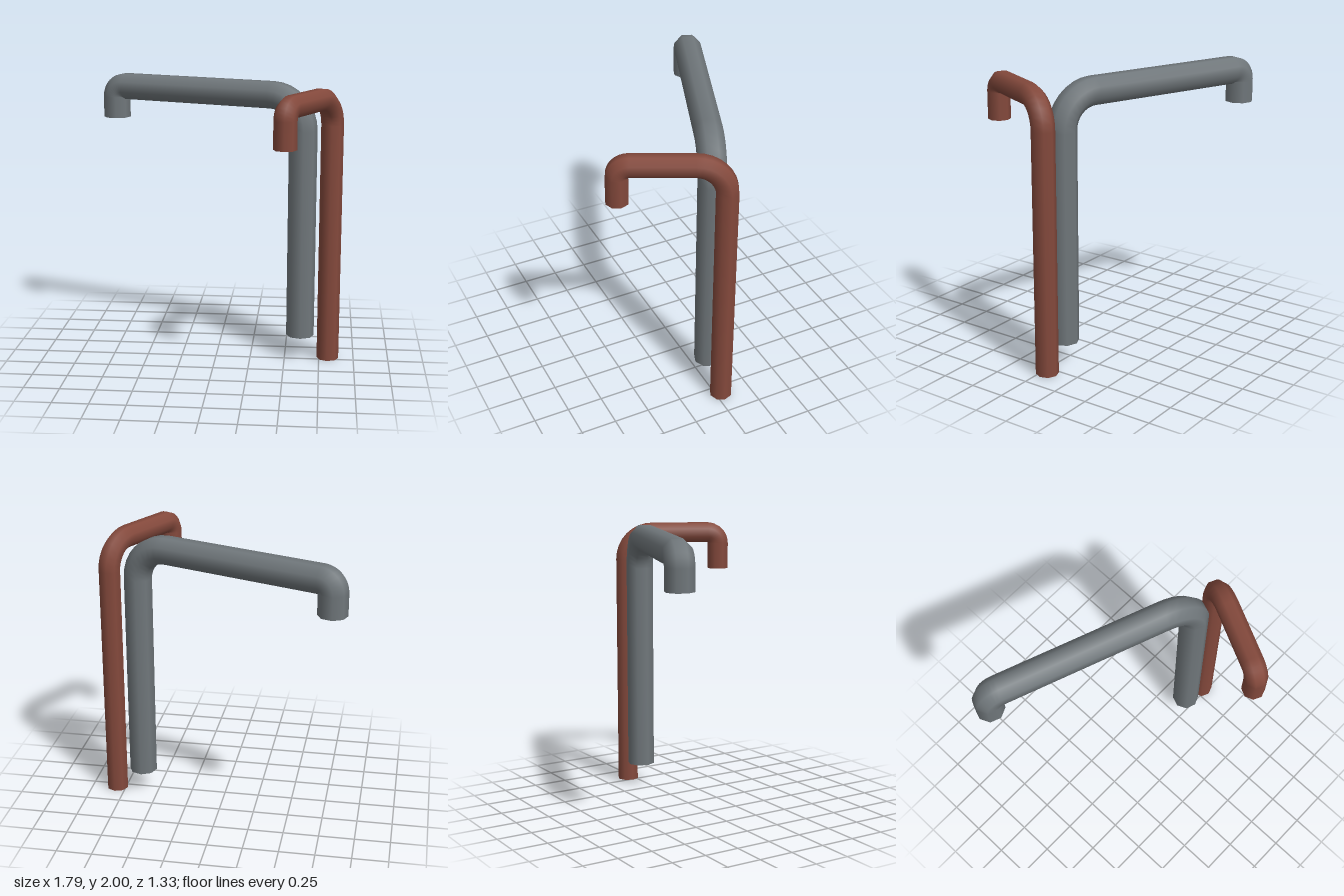
import * as THREE from 'three';

const SIDES = 8;

// Pipe in a vertical plane: rises from the foot, bends over, runs across, bends down to the tip.
function pipeGeometry({ foot, tip, runY, radius, legBend, tipBend }) {
  const base = new THREE.Vector3(...foot);
  const end = new THREE.Vector3(...tip);
  const along = new THREE.Vector3(end.x - base.x, 0, end.z - base.z);
  const length = along.length();
  along.normalize();
  const up = new THREE.Vector3(0, 1, 0);
  const side = new THREE.Vector3().crossVectors(along, up);

  // Stations: distance along the run, height, and heading (90 = up, 0 = across, -90 = down)
  const stations = [[0, base.y, Math.PI / 2]];
  const bend = (cx, cy, r, from, steps) => {
    for (let i = 0; i <= steps; i++) {
      const h = from - (i / steps) * Math.PI / 2;
      stations.push([cx - r * Math.sin(h), cy + r * Math.cos(h), h]);
    }
  };
  bend(legBend, runY - legBend, legBend, Math.PI / 2, 8);
  bend(length - tipBend, runY - tipBend, tipBend, 0, 8);
  stations.push([length, end.y, -Math.PI / 2]);

  const pos = [], nor = [], idx = [];
  const rings = stations.map(([s, y, h]) => ({
    c: new THREE.Vector3(base.x, y, base.z).addScaledVector(along, s),
    t: along.clone().multiplyScalar(Math.cos(h)).addScaledVector(up, Math.sin(h)),
    n: along.clone().multiplyScalar(-Math.sin(h)).addScaledVector(up, Math.cos(h)),
  }));
  const addRing = (ring, capNormal) => {
    for (let j = 0; j < SIDES; j++) {
      const a = ((j + 0.5) / SIDES) * Math.PI * 2;
      const d = ring.n.clone().multiplyScalar(Math.cos(a)).addScaledVector(side, Math.sin(a));
      pos.push(...ring.c.clone().addScaledVector(d, radius).toArray());
      nor.push(...(capNormal || d).toArray());
    }
  };

  // Smooth wall
  rings.forEach((ring) => addRing(ring));
  for (let i = 0; i < rings.length - 1; i++) {
    for (let j = 0; j < SIDES; j++) {
      const k = (j + 1) % SIDES;
      const a = i * SIDES + j, b = i * SIDES + k;
      idx.push(a, b, a + SIDES, b, b + SIDES, a + SIDES);
    }
  }
  // Flat end caps
  const cap = (ring, sign) => {
    const start = pos.length / 3;
    addRing(ring, ring.t.clone().multiplyScalar(sign));
    for (let j = 1; j < SIDES - 1; j++) {
      if (sign > 0) idx.push(start, start + j, start + j + 1);
      else idx.push(start, start + j + 1, start + j);
    }
  };
  cap(rings[0], -1);
  cap(rings[rings.length - 1], 1);

  const g = new THREE.BufferGeometry();
  g.setAttribute('position', new THREE.Float32BufferAttribute(pos, 3));
  g.setAttribute('normal', new THREE.Float32BufferAttribute(nor, 3));
  g.setIndex(idx);
  return g;
}

export function createModel() {
  const group = new THREE.Group();
  group.name = 'bentPipes';
  const steel = new THREE.MeshStandardMaterial({ color: 0x70777b });
  steel.name = 'grey steel';
  const rust = new THREE.MeshStandardMaterial({ color: 0x84493c });
  rust.name = 'rust red';

  const addPipe = (name, material, spec) => {
    const mesh = new THREE.Mesh(pipeGeometry(spec), material);
    mesh.name = name;
    group.add(mesh);
  };

  addPipe('longGreyPipe', steel, {
    foot: [0.61, 0.17, -0.04], tip: [-0.795, 1.675, -0.565],
    runY: 1.908, radius: 0.1, legBend: 0.24, tipBend: 0.08,
  });
  addPipe('shortRedPipe', rust, {
    foot: [0.813, 0, -0.041], tip: [0.505, 1.64, 0.587],
    runY: 1.912, radius: 0.079, legBend: 0.2, tipBend: 0.08,
  });
  return group;
}
